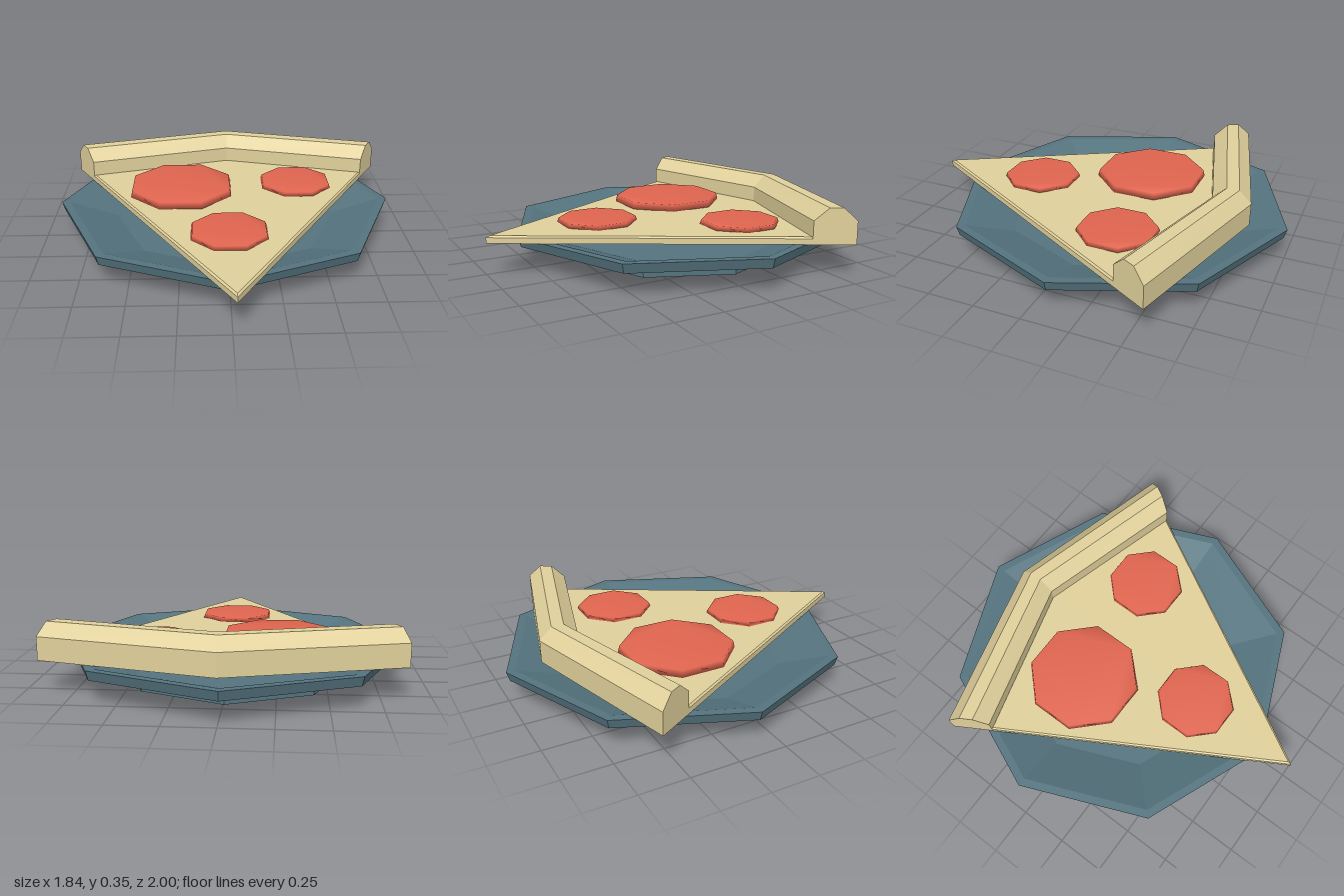
import * as THREE from 'three';

const plateBlue = new THREE.MeshStandardMaterial({ color: 0x55747f });
const dough = new THREE.MeshStandardMaterial({ color: 0xe0d09b });
const pepperoniRed = new THREE.MeshStandardMaterial({ color: 0xe0654f });

const SLICE_X = 0.02;

function flat(geometry) {
  const g = geometry.toNonIndexed();
  g.computeVertexNormals();
  return g;
}

// Skins a list of equal-length rings of [x, y, z] points and caps both ends.
function loft(rings) {
  const n = rings[0].length;
  const last = (rings.length - 1) * n;
  const index = [];
  for (let r = 0; r < rings.length - 1; r++) {
    for (let j = 0; j < n; j++) {
      const a = r * n + j, d = r * n + (j + 1) % n;
      index.push(a, a + n, d + n, a, d + n, d);
    }
  }
  for (let j = 1; j < n - 1; j++) {
    index.push(0, j, j + 1, last, last + j + 1, last + j);
  }
  const g = new THREE.BufferGeometry();
  g.setAttribute('position', new THREE.Float32BufferAttribute(rings.flat(2), 3));
  g.setIndex(index);
  g.computeVertexNormals();
  return g;
}

function addMesh(group, name, geometry, material) {
  const mesh = new THREE.Mesh(geometry, material);
  mesh.name = name;
  group.add(mesh);
  return mesh;
}

// Eight-sided disc with soft normals and a slightly narrower top.
function pepperoniGeometry(apothem, height) {
  const ring = (a, y) => Array.from({ length: 8 }, (_, i) => {
    const t = (i + 0.5) * Math.PI / 4;
    const r = a / Math.cos(Math.PI / 8);
    return [r * Math.cos(t), y, r * Math.sin(t)];
  });
  return loft([ring(apothem, 0), ring(apothem - 0.008, height)]);
}

export function createModel() {
  const model = new THREE.Group();
  model.name = 'pizzaSliceOnPlate';

  // Octagonal plate: foot, flared underside, rim and sunken floor
  const profile = [
    [0, 0], [0.605, 0], [0.605, 0.04], [0.9, 0.115], [0.915, 0.165],
    [0.87, 0.165], [0.61, 0.08], [0, 0.08],
  ].map(([r, y]) => new THREE.Vector2(r, y));
  const plate = addMesh(model, 'plate', flat(new THREE.LatheGeometry(profile, 8)), plateBlue);
  plate.position.set(-0.005, 0, -0.085);

  // Slice: wedge with a finely bevelled top edge
  const wedge = (y, inset) => [
    [0, y, 1 - 2 * inset], [-0.795 + inset, y, -0.385],
    [0, y, -0.605], [0.795 - inset, y, -0.385],
  ];
  const sliceRings = [wedge(0.165, 0), wedge(0.195, 0), wedge(0.203, 0.01)];
  const slice = addMesh(model, 'slice', flat(loft(sliceRings)), dough);
  slice.position.x = SLICE_X;

  // Crust: bevelled section swept along the chevron-shaped back edge
  const section = [
    [0, 0.165], [0, 0.285], [0.065, 0.35], [0.125, 0.35], [0.185, 0.285], [0.185, 0.165],
  ];
  const stations = [-1, 0, 1].map((side) => section.map(([back, y]) => [
    side * (0.795 + back * 0.577), y, side ? -0.385 - back : -0.605 - back * 1.1,
  ]));
  const crust = addMesh(model, 'crust', flat(loft(stations)), dough);
  crust.position.x = SLICE_X;

  // Pepperoni: x, z, half width, height
  [
    [-0.25, -0.17, 0.28, 0.038],
    [0.405, -0.235, 0.195, 0.023],
    [0.003, 0.395, 0.195, 0.023],
  ].forEach(([x, z, a, h], i) => {
    const disc = addMesh(model, `pepperoni${i + 1}`, pepperoniGeometry(a, h), pepperoniRed);
    disc.position.set(x, 0.202, z);
  });

  return model;
}
